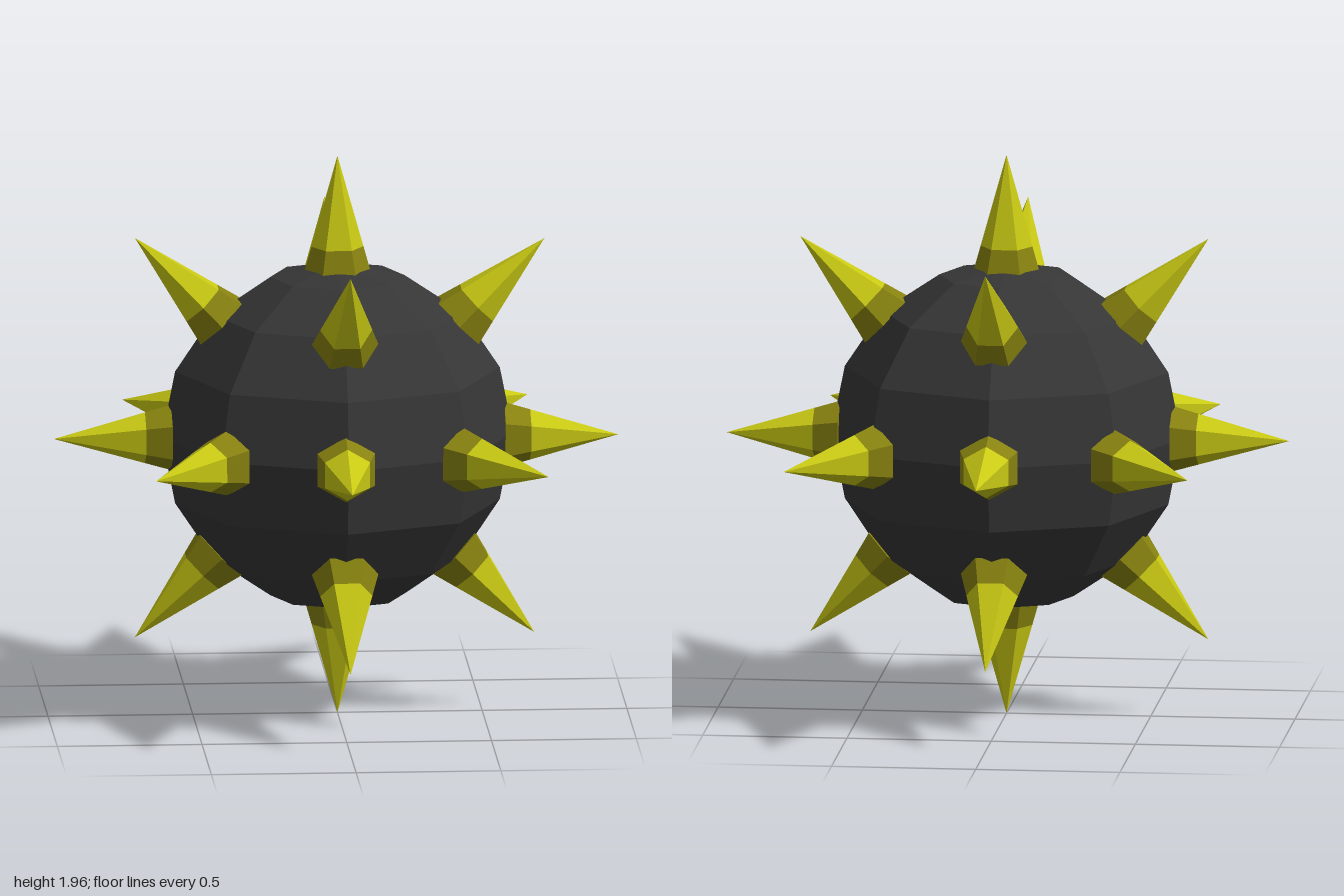
import * as THREE from 'three';

const CENTER_Y = 0.983;
const BASE = 0.575;   // distance of the spike base from the ball centre
const SPLIT = 0.665;  // where the dark collar ends
const RADIUS = 0.115; // spike radius at its base

// Spike tips, relative to the ball centre
const TIPS = [
  [0.97, -0.01, 0], [-0.98, 0, 0], [0, 0.985, 0], [0, -0.977, 0], [-0.012, 0, 0.995], [0, 0, -0.995],
  [0.715, 0.685, 0], [-0.7, 0.705, 0], [0.68, -0.703, 0], [-0.7, -0.703, 0],
  [0, 0.7, 0.7], [0, 0.695, -0.69], [0, -0.695, 0.705], [0, -0.697, -0.69],
  [0.685, -0.01, 0.69], [-0.67, -0.01, 0.675], [0.7, -0.01, -0.68], [-0.7, -0.01, -0.68],
];

function material(name, color) {
  const m = new THREE.MeshStandardMaterial({ color, flatShading: true });
  m.name = name;
  return m;
}

export function createModel() {
  const model = new THREE.Group();
  model.name = 'spikedBall';
  const dark = material('charcoal', 0x363636);
  const yellow = material('yellow', 0xc8c814);
  const olive = material('olive', 0x87820f);

  // Faceted ball
  const ball = new THREE.Mesh(new THREE.SphereGeometry(0.607, 8, 8), dark);
  ball.name = 'ball';
  ball.position.y = CENTER_Y;
  model.add(ball);

  // Six-sided spikes, each a dark collar below a bright point
  for (const tip of TIPS) {
    const axis = new THREE.Vector3(...tip);
    const length = axis.length();
    axis.normalize();

    // Corners point up on level spikes and sideways on the others
    const level = Math.abs(axis.y) < 0.1;
    const corner = level ? new THREE.Vector3(0, 1, 0)
      : Math.abs(axis.x) > 0.1 ? new THREE.Vector3(0, 0, 1) : new THREE.Vector3(1, 0, 0);
    const side = new THREE.Vector3().crossVectors(axis, corner).normalize();
    corner.crossVectors(side, axis);

    const spike = new THREE.Group();
    spike.name = 'spike';
    spike.position.y = CENTER_Y;
    spike.quaternion.setFromRotationMatrix(new THREE.Matrix4().makeBasis(side, axis, corner));

    const splitRadius = RADIUS * (length - SPLIT) / (length - BASE);
    const collar = new THREE.Mesh(
      new THREE.CylinderGeometry(splitRadius, RADIUS, SPLIT - BASE, 6), olive);
    collar.name = 'spikeCollar';
    collar.position.y = (BASE + SPLIT) / 2;

    const point = new THREE.Mesh(
      new THREE.ConeGeometry(splitRadius, length - SPLIT, 6, 1, true), yellow);
    point.name = 'spikePoint';
    point.position.y = (SPLIT + length) / 2;

    spike.add(collar, point);
    model.add(spike);
  }
  return model;
}
